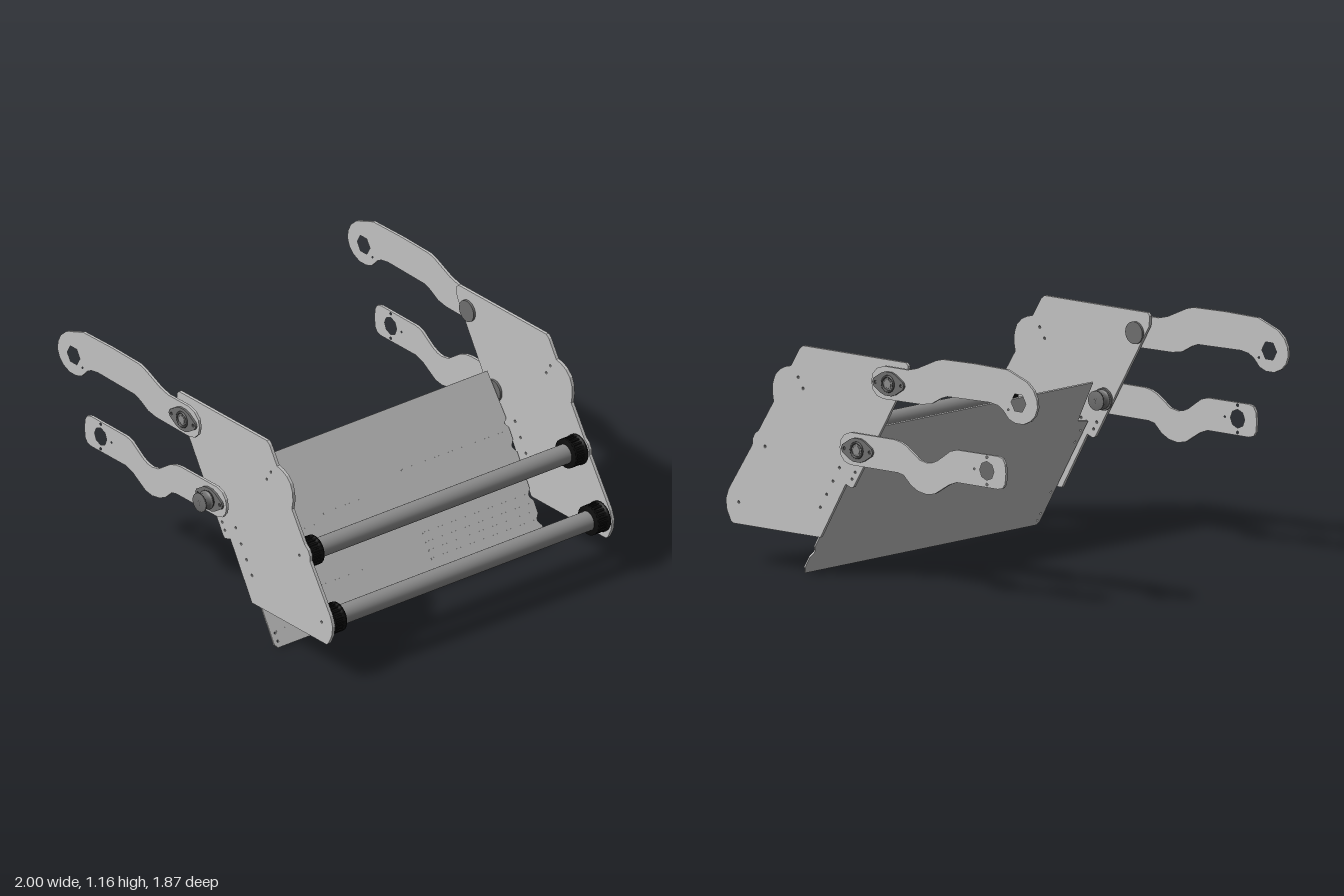
import * as THREE from 'three';

const mat = (name, color, side = THREE.FrontSide) => {
  const m = new THREE.MeshStandardMaterial({ color, side });
  m.name = name;
  return m;
};
const V = (pts) => pts.map(([x, y]) => new THREE.Vector2(x, y));
const MID = -0.0325; // z of the plane between the two side assemblies

export function createModel() {
  const steel = mat('light steel', 0xc2c2c2);
  const tube = mat('roller grey', 0x8c8c8c);
  const iron = mat('bearing grey', 0x6e6e6e);
  const dark = mat('dark iron', 0x3c3c3c);
  const black = mat('black rubber', 0x0c0c0c);
  const root = new THREE.Group();
  root.name = 'rollerFrame';

  const add = (name, geo, material, x, y, z, parent = root) => {
    const m = new THREE.Mesh(geo, material);
    m.name = name;
    m.position.set(x, y, z);
    parent.add(m);
    return m;
  };
  // Flat plate centred on its own thickness, holes given as [x, y, radius, sides]
  const plate = (pts, depth, holes = []) => {
    const s = new THREE.Shape(V(pts));
    for (const [hx, hy, r, n = 10] of holes) {
      const ring = [];
      for (let i = 0; i < n; i++) {
        const a = -i / n * Math.PI * 2;
        ring.push([hx + r * Math.cos(a), hy + r * Math.sin(a)]);
      }
      s.holes.push(new THREE.Path(V(ring)));
    }
    return new THREE.ExtrudeGeometry(s, { depth, bevelEnabled: false }).translate(0, 0, -depth / 2);
  };
  // Turned part around z, profile as [radius, z]
  const turned = (profile, n = 28) => new THREE.LatheGeometry(V(profile), n).rotateX(Math.PI / 2);
  const disc = (r, h, n = 28) => new THREE.CylinderGeometry(r, r, h, n).rotateX(Math.PI / 2);

  // Side plate outline and bolt holes
  const sideGeo = plate([
    [-0.14, 1.105], [-0.155, 1.09], [-0.15, 1.04], [-0.08, 0.92], [0.15, 0.535], [0.19, 0.468], [0.205, 0.462],
    [0.24, 0.475], [0.4, 0.2], [0.95, 0.2], [0.965, 0.21], [0.99, 0.26], [0.997, 0.31], [0.98, 0.36],
    [0.83, 0.59], [0.828, 0.62], [0.815, 0.645], [0.79, 0.665], [0.695, 0.815], [0.703, 0.86], [0.7, 0.905],
    [0.685, 0.945], [0.655, 0.975], [0.62, 0.992], [0.585, 1.0], [0.53, 1.09], [0.51, 1.105],
  ], 0.016, [[0.54, 0.95], [0.51, 0.9], [0.75, 0.592], [0.915, 0.305], [0.28, 0.55], [0.32, 0.48],
    [0.36, 0.412], [0.4, 0.345], [0.18, 0.54], [0.2, 0.505]].map(([x, y]) => [x, y, 0.007]));

  // Upper arm: rounded head with a hexagonal opening
  const upperGeo = plate([
    [-1, 1.0], [-0.995, 1.04], [-0.975, 1.08], [-0.935, 1.115], [-0.81, 1.16], [-0.6, 1.163], [-0.4, 1.158],
    [-0.36, 1.148], [-0.24, 1.095], [-0.18, 1.08], [-0.03, 1.08], [0.015, 1.065], [0.042, 1.035], [0.05, 1.0],
    [0.042, 0.96], [0.015, 0.932], [-0.03, 0.922], [-0.27, 0.926], [-0.33, 0.937], [-0.39, 0.97],
    [-0.43, 0.984], [-0.7, 0.99], [-0.75, 0.982], [-0.78, 0.965], [-0.82, 0.924], [-0.86, 0.91],
    [-0.91, 0.91], [-0.955, 0.93], [-0.985, 0.96],
  ], 0.014, [[-0.88, 1.01, 0.047, 6], [-0.815, 0.97, 0.005]]);

  // Lower arm: dipped in the middle
  const lowerGeo = plate([
    [-0.8, 0.66], [-0.795, 0.705], [-0.78, 0.73], [-0.75, 0.738], [-0.49, 0.736], [-0.45, 0.725], [-0.37, 0.67],
    [-0.335, 0.655], [-0.3, 0.65], [-0.255, 0.658], [-0.17, 0.715], [-0.13, 0.73], [-0.09, 0.736], [0.18, 0.736],
    [0.22, 0.722], [0.243, 0.692], [0.25, 0.657], [0.243, 0.62], [0.22, 0.592], [0.18, 0.58], [-0.12, 0.58],
    [-0.155, 0.572], [-0.2, 0.53], [-0.245, 0.507], [-0.3, 0.498], [-0.35, 0.507], [-0.44, 0.562],
    [-0.49, 0.58], [-0.75, 0.58], [-0.78, 0.588], [-0.795, 0.61],
  ], 0.014, [[-0.68, 0.66, 0.045, 8], [-0.68, 0.725, 0.007], [-0.68, 0.594, 0.007], [-0.6, 0.66, 0.005]]);

  // Two-bolt flange bearing
  const flangeGeo = plate([
    [-0.1, 0], [-0.092, 0.018], [-0.045, 0.048], [-0.02, 0.057], [0.02, 0.057], [0.045, 0.048], [0.092, 0.018],
    [0.1, 0], [0.092, -0.018], [0.045, -0.048], [0.02, -0.057], [-0.02, -0.057], [-0.045, -0.048], [-0.092, -0.018],
  ].reverse(), 0.012, [[-0.08, 0, 0.008], [0.08, 0, 0.008]]);
  const ringGeo = new THREE.TorusGeometry(0.036, 0.006, 8, 28);
  const pulleyGeo = turned([[0.001, -0.026], [0.047, -0.026], [0.047, -0.017], [0.036, -0.015],
    [0.036, 0.015], [0.047, 0.017], [0.047, 0.026], [0.001, 0.026]]);
  const pivots = [['upper', -0.065, 1.0], ['lower', 0.132, 0.657]];

  // Front and back side assemblies
  for (const s of [1, -1]) {
    const side = new THREE.Group();
    side.name = s > 0 ? 'frontSide' : 'backSide';
    root.add(side);
    const z = (d) => MID + s * d;
    add('sidePlate', sideGeo, steel, 0, 0, z(0.8525), side);
    add('upperArm', upperGeo, steel, 0, 0, z(0.885), side);
    add('lowerArm', lowerGeo, steel, 0, 0, z(0.885), side);
    for (const [label, x, y] of pivots) {
      const b = new THREE.Group();
      b.name = label + 'Bearing';
      side.add(b);
      add('pivotHub', disc(0.03, 0.07), iron, x, y, z(0.867), b);
      add('flange', flangeGeo, iron, x, y, z(0.897), b);
      add('innerWasher', disc(0.054, 0.012), iron, x, y, z(0.838), b);
      add('bearingRing', ringGeo, dark, x, y, z(0.903), b);
      add('bearingFace', disc(0.02, 0.008), tube, x, y, z(0.902), b);
      for (let i = 0; i < 5; i++) {
        const spoke = add('spoke', new THREE.BoxGeometry(0.006, 0.022, 0.006), tube, x, y, z(0.902), b);
        const a = i / 5 * Math.PI * 2;
        spoke.position.x += -Math.sin(a) * 0.024;
        spoke.position.y += Math.cos(a) * 0.024;
        spoke.rotation.z = a;
      }
    }
  }

  // Drive pulleys on the front lower pivot, joined by a shaft
  const [, px, py] = pivots[1];
  add('outerPulley', pulleyGeo, iron, px, py, 0.904);
  add('innerPulley', pulleyGeo, iron, px, py, 0.776);
  add('pulleyShaft', disc(0.015, 0.18), dark, px, py, 0.84);

  // Rollers with flanged, ribbed end caps
  const capGeo = turned([[0.001, -0.04], [0.076, -0.04], [0.076, -0.027], [0.068, -0.022], [0.066, 0.018],
    [0.073, 0.024], [0.073, 0.04], [0.001, 0.04]]);
  for (const [label, x, y] of [['upper', 0.748, 0.592], ['lower', 0.915, 0.304]]) {
    add(label + 'Roller', disc(0.048, 1.69, 40), tube, x, y, MID);
    for (const s of [1, -1]) {
      const cap = add(label + 'RollerCap', capGeo, black, x, y, MID + s * 0.804);
      if (s > 0) cap.rotation.y = Math.PI;
      for (let i = 0; i < 20; i++) {
        const a = i / 20 * Math.PI * 2;
        const rib = add('capRib', new THREE.BoxGeometry(0.01, 0.01, 0.07), black,
          x + Math.cos(a) * 0.068, y + Math.sin(a) * 0.068, MID + s * 0.804);
        rib.rotation.z = a;
      }
    }
  }

  // Sloping sheet: local x runs down the slope, local y runs along z
  const sheet = new THREE.Group();
  sheet.name = 'slopingSheet';
  const L = 0.87, down = new THREE.Vector3(0.506, -0.8625, 0).normalize(), along = new THREE.Vector3(0, 0, 1);
  const normal = new THREE.Vector3().crossVectors(down, along);
  sheet.quaternion.setFromRotationMatrix(new THREE.Matrix4().makeBasis(down, along, normal));
  sheet.position.set(0.105, 0.757, 0);
  root.add(sheet);
  const edge = [[0, 0.7], [0, -0.85], [0.24, -0.865]];
  for (let i = 0; i < 5; i++) { // scalloped back edge
    const u = 0.26 + i * 0.122;
    edge.push([u, -0.845], [u + 0.025, -0.862], [u + 0.085, -0.862], [u + 0.11, -0.845]);
  }
  edge.push([L, -0.84], [L, 0.79], [0.85, 0.805], [0.25, 0.805], [0.235, 0.725]);
  add('sheet', plate(edge, 0.008, [0.3, 0.37, 0.67, 0.8, 0.84].map((u) => [u, 0.78, 0.006])), steel, 0, 0, 0, sheet);
  // Shallow creases as [height, z start, z end]
  for (const [y, a, b] of [[0.18, 0.77, 0.17], [0.07, 0.77, 0.15], [0.42, 0.77, 0.35], [0.45, 0.3, 0.08],
    [0.5, -0.2, -0.83], [0.23, -0.2, -0.83], [0.19, -0.2, -0.83], [0.155, -0.2, -0.83], [0.12, -0.2, -0.83]]) {
    const crease = add('crease', new THREE.BoxGeometry(0.008, a - b, 0.003), steel,
      (0.757 - y) / 0.8625, (a + b) / 2, -0.005, sheet);
    crease.rotation.z = 0.008;
  }
  return root;
}
